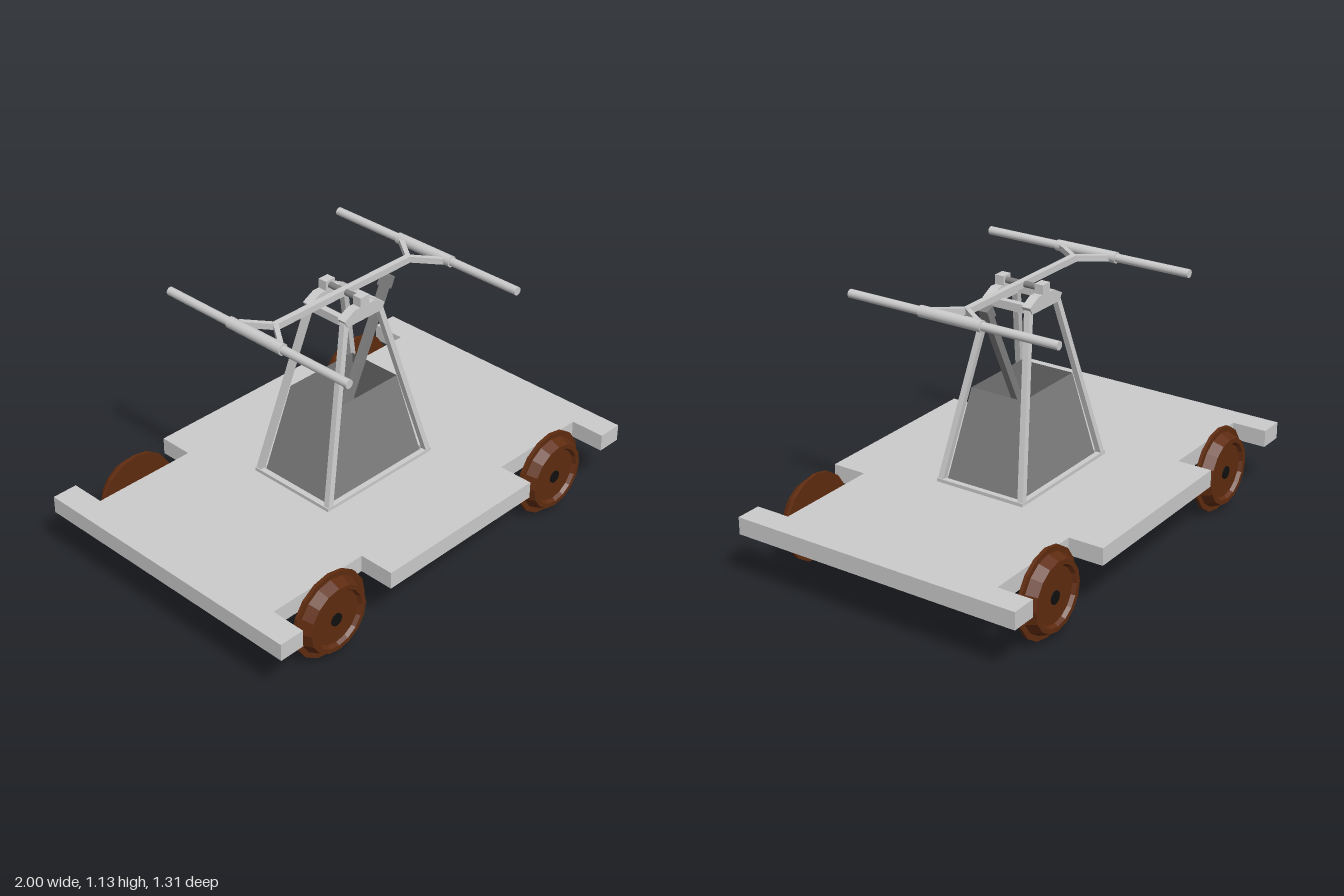
import * as THREE from 'three';

const material = (color) => new THREE.MeshStandardMaterial({ color, flatShading: true, side: THREE.DoubleSide });

export function createModel() {
  const root = new THREE.Group();
  const grey = material(0xcccccc);
  const dark = material(0x808080);
  const brown = material(0x602c10);
  const black = material(0x101010);
  const smooth = new THREE.MeshStandardMaterial({ color: 0xcccccc });

  const add = (name, geometry, mat, x = 0, y = 0, z = 0) => {
    const mesh = new THREE.Mesh(geometry, mat);
    mesh.name = name;
    mesh.position.set(x, y, z);
    root.add(mesh);
    return mesh;
  };
  const box = (name, mat, w, h, d, x, y, z) => add(name, new THREE.BoxGeometry(w, h, d), mat, x, y, z);
  // Square bar running between two points
  const bar = (name, mat, a, b, w, h) => {
    const from = new THREE.Vector3(...a), to = new THREE.Vector3(...b);
    const mesh = box(name, mat, w, h, from.distanceTo(to), 0, 0, 0);
    mesh.position.copy(from).lerp(to, 0.5);
    mesh.lookAt(to);
    return mesh;
  };
  // Upright bar with level ends, sheared from one point to another
  const leg = (name, a, b, w) => {
    const geometry = new THREE.BoxGeometry(w, 1, w);
    const p = geometry.attributes.position;
    for (let i = 0; i < p.count; i++) {
      const end = p.getY(i) > 0 ? b : a;
      p.setXYZ(i, p.getX(i) + end[0], end[1], p.getZ(i) + end[2]);
    }
    geometry.computeVertexNormals();
    return add(name, geometry, grey);
  };
  // Cylinder lying along z
  const rod = (name, mat, r, length, x, y, z, sides = 16) =>
    add(name, new THREE.CylinderGeometry(r, r, length, sides).rotateX(Math.PI / 2), mat, x, y, z);

  // Deck with a notch over each wheel
  const quarter = [[0.415, 0.655], [0.415, 0.5], [0.887, 0.5], [0.887, 0.655], [1, 0.655]];
  const back = [...quarter].reverse();
  const outline = [
    ...quarter,
    ...back.map(([x, z]) => [x, -z]),
    ...quarter.map(([x, z]) => [-x, -z]),
    ...back.map(([x, z]) => [-x, z]),
  ];
  const deckShape = new THREE.Shape(outline.map(([x, z]) => new THREE.Vector2(x, z)));
  const deck = new THREE.ExtrudeGeometry(deckShape, { depth: 0.075, bevelEnabled: false });
  add('deck', deck.rotateX(-Math.PI / 2), grey, 0, 0.225, 0);

  // Gear box below the deck and open tapered housing above it
  box('lowerGearBox', dark, 0.53, 0.115, 0.39, 0, 0.1675, 0);
  const housing = new THREE.CylinderGeometry(0.67 * Math.SQRT2, Math.SQRT2, 0.39, 4, 1, true, Math.PI / 4);
  add('gearHousing', housing.scale(0.265, 1, 0.186), dark, 0, 0.495, 0);

  // Wheels: flange on the inside, tapered tread, dished outer face
  const wheelProfile = [
    [0, 0], [0.188, 0], [0.188, 0.015], [0.165, 0.015], [0.147, 0.061],
    [0.127, 0.061], [0.118, 0.045], [0, 0.045],
  ].map(([r, y]) => new THREE.Vector2(r, y));
  for (const x of [-0.653, 0.653]) {
    rod('axle', black, 0.028, 1.2, x, 0.18, 0, 12);
    box('axleBlock', black, 0.08, 0.08, 0.09, x, 0.186, 0);
    for (const s of [-1, 1]) {
      const wheel = new THREE.LatheGeometry(wheelProfile, 16).rotateX(s * Math.PI / 2);
      add('wheel', wheel, brown, x, 0.188, s * 0.55);
    }
  }

  // Stand: base rails, four leaning legs and the top frame
  const capShape = new THREE.Shape([
    [-0.095, 1.025], [0.095, 1.025], [0.113, 1.055], [0.055, 1.085], [-0.055, 1.085], [-0.113, 1.055],
  ].map(([x, y]) => new THREE.Vector2(x, y)));
  for (const s of [-1, 1]) {
    box('baseRail', grey, 0.61, 0.015, 0.024, 0, 0.3075, s * 0.197);
    box('baseRail', grey, 0.024, 0.015, 0.4, s * 0.293, 0.3075, 0);
    for (const t of [-1, 1]) {
      leg('standLeg', [s * 0.291, 0.3, t * 0.197], [s * 0.095, 1.04, t * 0.095], 0.026);
    }
    const cap = new THREE.ExtrudeGeometry(capShape, { depth: 0.04, bevelEnabled: false });
    add('topRail', cap, grey, 0, 0, s * 0.094 - 0.02);
    box('topCrossbar', grey, 0.028, 0.035, 0.15, s * 0.093, 1.0425, 0);
    box('pivotBearing', grey, 0.05, 0.04, 0.04, 0, 1.105, s * 0.094);
  }
  rod('pivotShaft', dark, 0.013, 0.16, 0, 1.103, 0);

  // Rocking beam with a forked end and a cross handle on each side
  box('rockingBeam', grey, 0.76, 0.028, 0.026, 0, 1.103, 0);
  for (const s of [-1, 1]) {
    for (const t of [-1, 1]) {
      bar('beamFork', grey, [s * 0.37, 1.103, 0], [s * 0.455, 1.103, t * 0.115], 0.02, 0.026);
      bar('forkEnd', grey, [s * 0.452, 1.103, t * 0.108], [s * 0.475, 1.103, t * 0.125], 0.02, 0.026);
    }
    rod('handleSleeve', smooth, 0.024, 0.29, s * 0.472, 1.103, 0);
    rod('handle', smooth, 0.018, 0.975, s * 0.472, 1.103, 0);
  }

  // Connecting rod from the beam down into the housing
  bar('connectingRod', dark, [-0.06, 0.42, 0], [0.25, 1.07, 0], 0.03, 0.034);
  bar('rodClevis', dark, [0.23, 1.03, 0], [0.252, 1.077, 0], 0.044, 0.042);

  return root;
}
